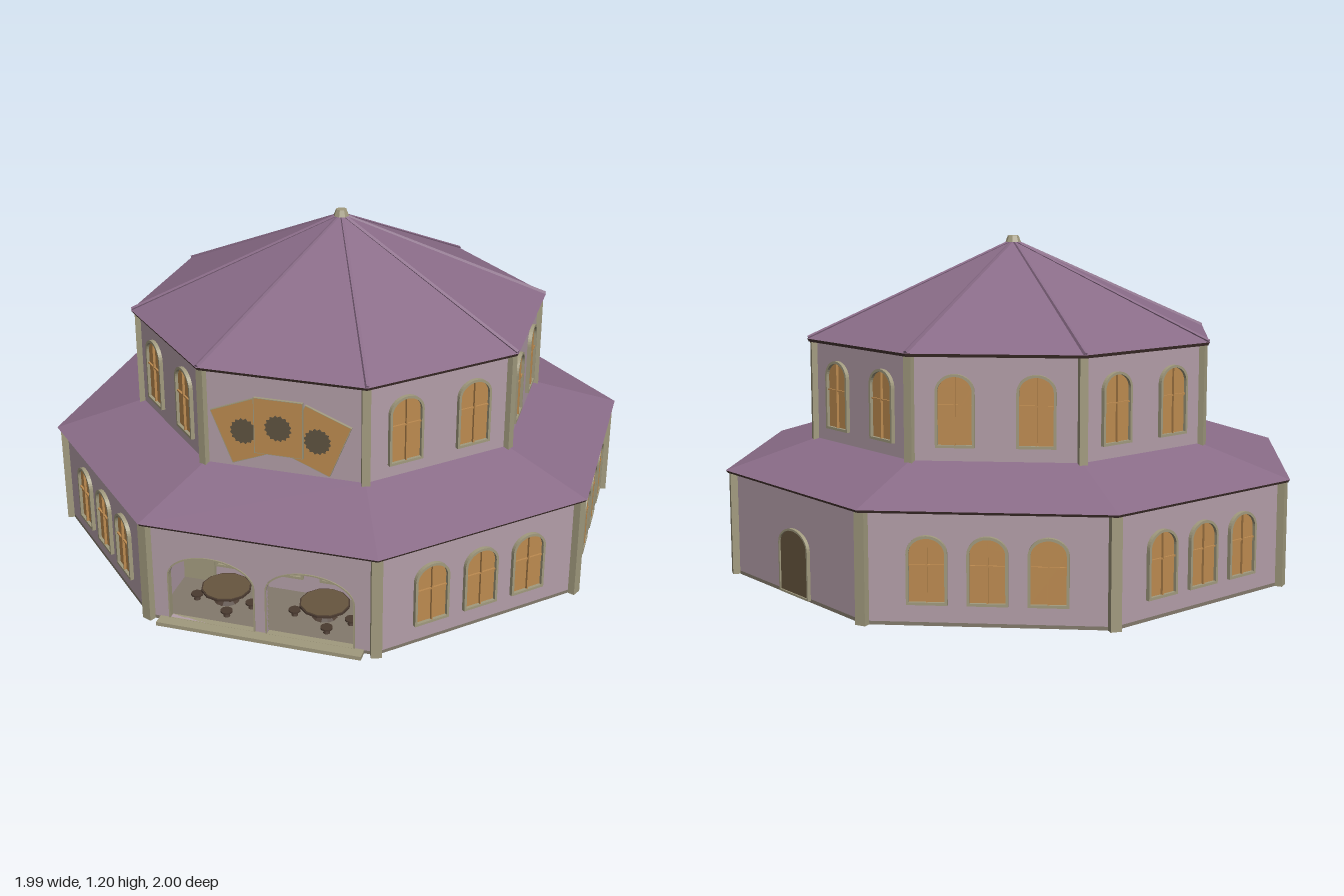
import * as THREE from 'three';

const mat = (name, color) => new THREE.MeshStandardMaterial({ name, color, flatShading: true });
const M = {
  wall: mat('lilac plaster', 0xb39ea8),
  roof: mat('purple roof', 0x8a6c88),
  trim: mat('olive stone', 0xa19a7e),
  glass: mat('amber glass', 0xbd8b50),
  fascia: mat('dark eave', 0x4d3a36),
  base: mat('grey brown floor', 0x837a6c),
  door: mat('brown door', 0x67563f),
  wood: mat('dark wood', 0x4a3a30),
  emblem: mat('grey brown emblem', 0x5f5340),
};
M.wall.side = THREE.DoubleSide;

const COS = Math.cos(Math.PI / 8), TAN = Math.tan(Math.PI / 8);
const LOW = 0.965, UP = 0.69; // wall apothems

function add(parent, name, geo, material, x = 0, y = 0, z = 0) {
  const m = new THREE.Mesh(geo, material);
  m.name = name;
  m.position.set(x, y, z);
  parent.add(m);
  return m;
}

const extrude = (shape, depth) =>
  new THREE.ExtrudeGeometry(shape, { depth, bevelEnabled: false, curveSegments: 10 });

// Eight-sided frustum given by apothems, with flat sides to the front
function octagon(parent, name, material, aTop, aBottom, y0, y1, open = false) {
  const geo = new THREE.CylinderGeometry(aTop / COS, aBottom / COS, y1 - y0, 8, 1, open, Math.PI / 8);
  return add(parent, name, geo, material, 0, (y0 + y1) / 2, 0);
}

// Opening with straight jambs and an elliptical head
function arch(Type, cx, y0, halfW, height, rise) {
  const s = new Type(), spring = y0 + height - rise;
  s.moveTo(cx - halfW, y0);
  s.lineTo(cx + halfW, y0);
  s.lineTo(cx + halfW, spring);
  s.absellipse(cx, spring, halfW, rise, 0, Math.PI, false);
  s.lineTo(cx - halfW, y0);
  return s;
}

function archFrame(parent, name, cx, y0, halfW, height, rise, z, depth, t = 0.009) {
  const s = arch(THREE.Shape, cx, y0 - t, halfW + t, height + 2 * t, rise + t);
  s.holes.push(arch(THREE.Path, cx, y0, halfW, height, rise));
  add(parent, name, extrude(s, depth), M.trim, 0, 0, z);
}

function windowUnit(parent, x, y0, height, z) {
  const g = new THREE.Group();
  g.name = 'window';
  g.position.set(x, y0, z);
  parent.add(g);
  archFrame(g, 'windowFrame', 0, 0, 0.057, height, 0.05, -0.002, 0.016);
  add(g, 'windowPane', extrude(arch(THREE.Shape, 0, 0, 0.057, height, 0.05), 0.005), M.glass, 0, 0, -0.002);
  add(g, 'windowUpright', new THREE.BoxGeometry(0.005, height, 0.012), M.glass, 0, height / 2, 0.006);
  add(g, 'windowCrossbar', new THREE.BoxGeometry(0.112, 0.005, 0.01), M.glass, 0, height * 0.58, 0.005);
}

// Group turned to one of the eight faces
function face(parent, k, name) {
  const g = new THREE.Group();
  g.name = name;
  g.rotation.y = k * Math.PI / 4;
  parent.add(g);
  return g;
}

function bar(parent, name, a, b, r, material) {
  const d = b.clone().sub(a);
  const m = add(parent, name, new THREE.CylinderGeometry(r, r, d.length(), 4), material);
  m.position.copy(a).addScaledVector(d, 0.5);
  m.quaternion.setFromUnitVectors(new THREE.Vector3(0, 1, 0), d.normalize());
}

function tableSet(parent, x, z) {
  const g = new THREE.Group();
  g.name = 'tableSet';
  g.position.set(x, 0.014, z);
  parent.add(g);
  const disc = (name, r0, r1, h, px, py, pz, material = M.wood) =>
    add(g, name, new THREE.CylinderGeometry(r0, r1, h, 12), material, px, py, pz);
  disc('tableRim', 0.088, 0.088, 0.007, 0, 0.049, 0);
  disc('tableTop', 0.083, 0.083, 0.002, 0, 0.0535, 0, M.door);
  disc('tableLeg', 0.018, 0.018, 0.046, 0, 0.024, 0);
  disc('tableFoot', 0.025, 0.045, 0.012, 0, 0.006, 0);
  for (const [sx, sz] of [[-1, 0.25], [1, 0.25], [-0.35, -0.95], [0.35, 0.95]]) {
    disc('stoolSeat', 0.021, 0.021, 0.006, sx * 0.1, 0.02, sz * 0.1);
    disc('stoolLeg', 0.007, 0.012, 0.018, sx * 0.1, 0.009, sz * 0.1);
  }
}

// Sign card with a spiky round emblem
function card(parent, x, y, z, tilt) {
  const g = new THREE.Group();
  g.name = 'signCard';
  g.position.set(x, y, z);
  g.rotation.z = tilt;
  parent.add(g);
  add(g, 'cardPlate', new THREE.BoxGeometry(0.168, 0.2, 0.01), M.glass);
  for (const s of [-1, 1]) {
    add(g, 'cardEdge', new THREE.BoxGeometry(0.003, 0.203, 0.01), M.trim, s * 0.0845, 0, 0);
    add(g, 'cardEdge', new THREE.BoxGeometry(0.171, 0.003, 0.01), M.trim, 0, s * 0.1005, 0);
  }
  const pts = [];
  for (let i = 0; i < 32; i++) {
    const a = i / 32 * Math.PI * 2, r = i % 2 ? 0.048 : 0.041;
    pts.push(new THREE.Vector2(r * Math.cos(a), r * Math.sin(a)));
  }
  add(g, 'cardEmblem', extrude(new THREE.Shape(pts), 0.004), M.emblem, 0, 0, 0.004);
}

export function createModel() {
  const root = new THREE.Group();
  root.name = 'octagonalHall';
  const hall = new THREE.Group();
  hall.name = 'hall';
  hall.position.z = -0.008;
  root.add(hall);

  // Base and walls; the inner wall also backs the porch
  octagon(hall, 'base', M.base, LOW, LOW, 0, 0.012);
  octagon(hall, 'upperWall', M.wall, UP, UP, 0.012, 0.835, true);
  add(hall, 'lowerWall', new THREE.CylinderGeometry(LOW / COS, LOW / COS, 0.36, 7, 1, true,
    Math.PI / 8, Math.PI * 7 / 4), M.wall, 0, 0.192, 0);

  // Roofs and eaves
  octagon(hall, 'lowerEave', M.fascia, 0.993, 0.988, 0.369, 0.378);
  octagon(hall, 'lowerRoof', M.roof, UP, 0.994, 0.378, 0.48, true);
  octagon(hall, 'upperEave', M.fascia, 0.716, 0.71, 0.829, 0.84);
  octagon(hall, 'upperRoof', M.roof, 0.005, 0.716, 0.84, 1.18, true);
  add(hall, 'finial', new THREE.CylinderGeometry(0.02, 0.029, 0.024, 8), M.trim, 0, 1.187, 0);

  // Corner pillars and roof ridges
  for (let k = 0; k < 8; k++) {
    const a = (k + 0.5) * Math.PI / 4, s = Math.sin(a) / COS, c = Math.cos(a) / COS;
    const pillar = (name, ap, w, y0, y1) => {
      add(hall, name, new THREE.BoxGeometry(w, y1 - y0, w), M.trim, s * ap, (y0 + y1) / 2, c * ap).rotation.y = a;
    };
    pillar('lowerPillar', LOW - 0.001, 0.037, 0, 0.369);
    pillar('upperPillar', UP, 0.029, 0.45, 0.83);
    bar(hall, 'roofRidge', new THREE.Vector3(s * 0.712, 0.843, c * 0.712),
      new THREE.Vector3(0, 1.18, 0), 0.008, M.roof);
  }

  // Windows, and the door on one rear diagonal face
  for (let k = 0; k < 8; k++) {
    const f = face(hall, k, 'wallFace');
    if (k > 0) for (const x of [-0.135, 0.135]) windowUnit(f, x, 0.535, 0.228, UP);
    if (k === 3) {
      add(f, 'door', extrude(arch(THREE.Shape, 0, 0.013, 0.084, 0.217, 0.055), 0.007), M.door, 0, 0, LOW);
      archFrame(f, 'doorFrame', 0, 0.013, 0.084, 0.217, 0.055, LOW - 0.002, 0.014, 0.007);
    } else {
      for (const x of [-0.193, 0, 0.193]) windowUnit(f, x, 0.08, 0.207, k ? LOW : UP);
    }
  }

  // Porch front with two arches
  const half = LOW * TAN;
  const front = new THREE.Shape([[-half, 0.012], [half, 0.012], [half, 0.37], [-half, 0.37]]
    .map(p => new THREE.Vector2(...p)));
  for (const s of [-1, 1]) {
    front.holes.push(arch(THREE.Path, s * 0.173, 0.0145, 0.15, 0.25, 0.085));
    archFrame(hall, 'archTrim', s * 0.173, 0.0145, 0.15, 0.25, 0.085, LOW - 0.02, 0.024, 0.005);
    tableSet(hall, s * 0.178, 0.81);
    // Stone pier at the back of the porch and the side wall before it
    add(hall, 'porchPier', new THREE.BoxGeometry(0.125, 0.356, 0.02), M.trim, s * 0.3225, 0.19, UP + 0.012);
    add(hall, 'porchSide', new THREE.BoxGeometry(0.01, 0.356, 0.25), M.wall, s * 0.38, 0.19, 0.825);
  }
  add(hall, 'porchFront', extrude(front, 0.02), M.wall, 0, 0, LOW - 0.02);
  add(hall, 'step', new THREE.BoxGeometry(0.72, 0.014, 0.05), M.trim, 0, 0.007, 0.983);

  // Fan of sign cards
  card(hall, -0.131, 0.632, 0.718, 0.38);
  card(hall, 0.131, 0.632, 0.725, -0.38);
  card(hall, 0, 0.67, 0.742, 0);
  add(hall, 'signBracket', new THREE.BoxGeometry(0.1, 0.03, 0.05), M.wood, 0, 0.65, 0.71);

  return root;
}
